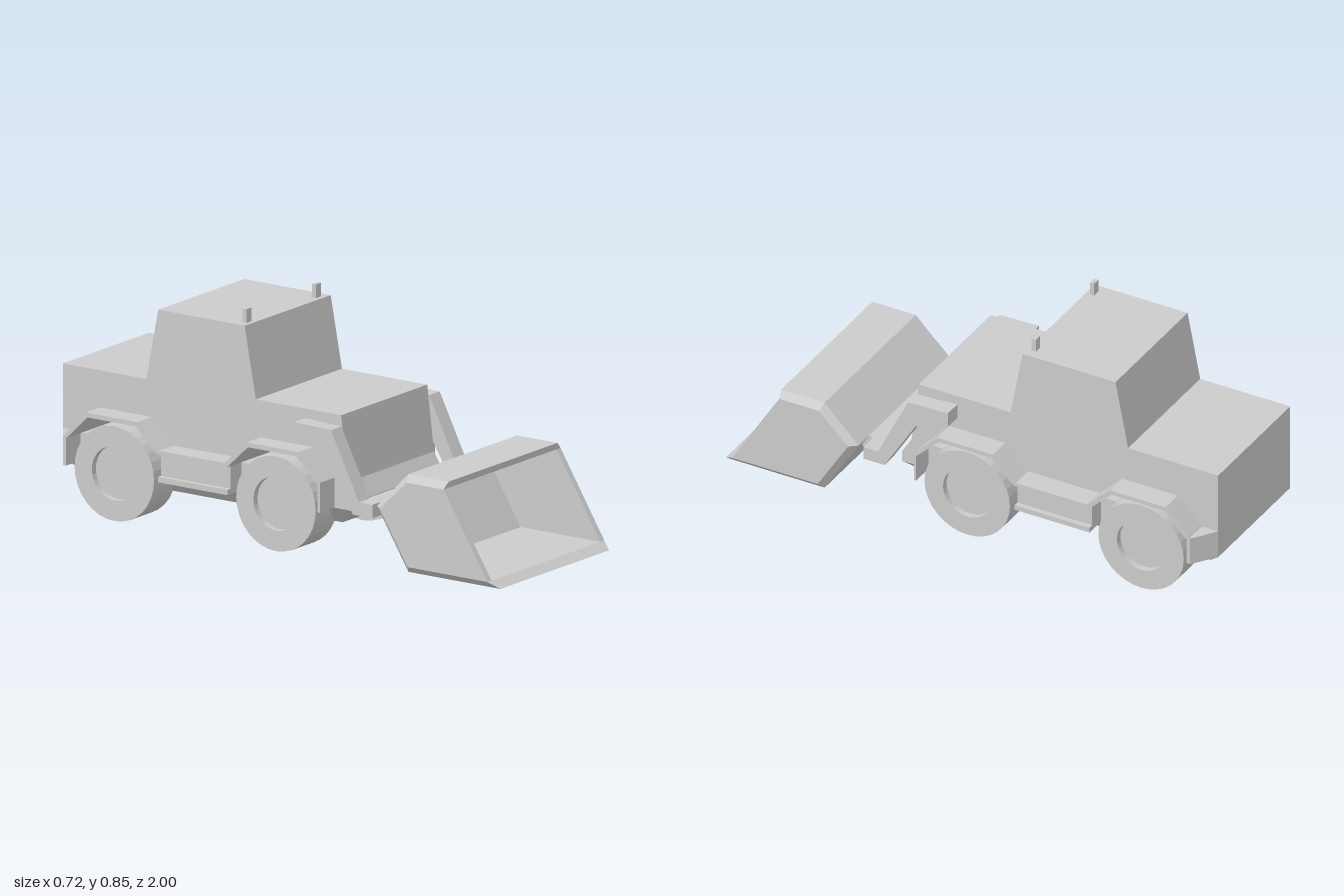
import * as THREE from 'three';

const material = new THREE.MeshStandardMaterial({ color: 0xcccccc, flatShading: true });
const thin = new THREE.MeshStandardMaterial({ color: 0xcccccc, flatShading: true, side: THREE.DoubleSide });

// Side profile given as [z, y] points, extruded from x0 to x1
function slab(points, x0, x1) {
  const shape = new THREE.Shape(points.map(([z, y]) => new THREE.Vector2(-z, y)));
  const geo = new THREE.ExtrudeGeometry(shape, { depth: x1 - x0, bevelEnabled: false });
  return geo.rotateY(Math.PI / 2).translate(x0, 0, 0);
}

function box(x0, x1, y0, y1, z0, z1) {
  return new THREE.BoxGeometry(x1 - x0, y1 - y0, z1 - z0)
    .translate((x0 + x1) / 2, (y0 + y1) / 2, (z0 + z1) / 2);
}

// Convex polygons (arrays of [x, y, z]) turned into a faceted surface
function facets(polygons) {
  const pos = [];
  for (const p of polygons)
    for (let i = 1; i < p.length - 1; i++) pos.push(...p[0], ...p[i], ...p[i + 1]);
  const geo = new THREE.BufferGeometry();
  geo.setAttribute('position', new THREE.Float32BufferAttribute(pos, 3));
  geo.computeVertexNormals();
  return geo;
}

// Open bucket: outer shell with bevelled ends, inner shell and front rim
function bucketGeometry() {
  const outer = [[1, 0.015], [0.59, 0.015], [0.45, 0.24], [0.59, 0.38], [0.77, 0.38]];
  const inner = [[0.96, 0.04], [0.605, 0.04], [0.48, 0.24], [0.6, 0.355], [0.765, 0.355]];
  const at = (profile, x) => profile.map(([z, y]) => [x, y, z]);
  const w = 0.335, W = 0.36;
  const polys = [];
  const strip = (a, b) => {
    for (let i = 0; i < 4; i++) polys.push([a[i], b[i], b[i + 1], a[i + 1]]);
  };
  strip(at(outer, -w), at(outer, w));
  strip(at(inner, -w), at(inner, w));
  for (const s of [-1, 1]) {
    const o = at(outer, s * w), n = at(inner, s * w), e = at(inner, s * W);
    strip(o, e);
    polys.push(e, n);
    polys.push([n[0], e[0], e[4], n[4]], [o[0], e[0], n[0]], [o[4], e[4], n[4]]);
  }
  for (const i of [0, 4])
    polys.push([at(outer, -w)[i], at(outer, w)[i], at(inner, w)[i], at(inner, -w)[i]]);
  return facets(polys);
}

// Lower hull: straight sides tapering in to a narrower belly
function chassisGeometry() {
  const ring = (x, y, zf, zb) => [[-x, y, zf], [x, y, zf], [x, y, zb], [-x, y, zb]];
  const rings = [
    ring(0.2, 0.11, 0.2, -0.93), ring(0.265, 0.18, 0.31, -1),
    ring(0.265, 0.22, 0.31, -1), ring(0.265, 0.285, 0.27, -1),
  ];
  const polys = [[...rings[0]].reverse(), rings[3]];
  for (let r = 0; r < 3; r++)
    for (let i = 0; i < 4; i++) {
      const j = (i + 1) % 4;
      polys.push([rings[r][i], rings[r][j], rings[r + 1][j], rings[r + 1][i]]);
    }
  return facets(polys);
}

export function createModel() {
  const model = new THREE.Group();
  model.name = 'shovelTractor';
  const add = (name, geo, mat = material) => {
    const mesh = new THREE.Mesh(geo, mat);
    mesh.name = name;
    model.add(mesh);
    return mesh;
  };

  // Underside of the fenders, shared by the body arches
  const arch = [
    [0.2, 0.285], [0.105, 0.375], [-0.11, 0.375], [-0.205, 0.285],
    [-0.515, 0.285], [-0.61, 0.375], [-0.825, 0.375], [-0.915, 0.285],
  ];

  // Bonnet, cab and engine bay in one profile with open wheel arches
  add('body', slab([
    [0.27, 0.285], [0.24, 0.53], [-0.14, 0.53], [-0.19, 0.797], [-0.575, 0.797],
    [-0.627, 0.53], [-1, 0.53], [-1, 0.285], ...[...arch].reverse(),
  ], -0.265, 0.265));
  add('chassis', chassisGeometry(), thin);

  // Fender band running over both wheels, with a front mudflap
  const fender = [
    [0.2, 0.18], [0.21, 0.18], [0.21, 0.292], [0.113, 0.392], [-0.118, 0.392], [-0.213, 0.3],
    [-0.507, 0.3], [-0.602, 0.392], [-0.833, 0.392], [-0.93, 0.292], [-0.93, 0.285],
    ...[...arch].reverse(),
  ];
  const arm = [
    [0.08, 0.495], [0.245, 0.49], [0.37, 0.24], [0.37, 0.19], [0.343, 0.19],
    [0.215, 0.395], [0.14, 0.437], [0.08, 0.437],
  ];
  const wheelProfile = [[0, 0], [0.177, 0], [0.177, 0.135], [0.1, 0.135], [0.1, 0.11], [0, 0.11]]
    .map(([r, h]) => new THREE.Vector2(r, h));

  for (const s of [-1, 1]) {
    const side = s > 0 ? 'left' : 'right';
    const span = (a, b) => (s > 0 ? [a, b] : [-b, -a]);

    add(side + 'Fender', slab(fender, ...span(0.264, 0.355)));
    add(side + 'StepPanel', box(...span(0.264, 0.33), 0.2, 0.285, -0.515, -0.205));
    add(side + 'Step', box(...span(0.264, 0.35), 0.18, 0.2, -0.515, -0.205));

    // Wedge closing the rear corner
    const corner = new THREE.Shape(
      [[0.264, 0.92], [0.355, 0.92], [0.355, 0.935], [0.264, 1]].map(([x, z]) => new THREE.Vector2(s * x, z)));
    add(side + 'RearCorner', new THREE.ExtrudeGeometry(corner, { depth: 0.11, bevelEnabled: false })
      .rotateX(-Math.PI / 2).translate(0, 0.18, 0));

    add(side + 'LiftArm', slab(arm, ...span(0.27, 0.335)));
    add(side + 'ArmPivot', box(...span(0.26, 0.275), 0.437, 0.493, 0.08, 0.14));
    add(side + 'RoofLamp', box(...span(0.198, 0.23), 0.79, 0.848, -0.225, -0.208));

    for (const [place, z] of [['Front', 0], ['Rear', -0.72]]) {
      const wheel = add(side + place + 'Wheel',
        new THREE.LatheGeometry(wheelProfile, 32).rotateZ(-Math.PI / 2));
      wheel.position.set(s * 0.2, 0.177, z);
      if (s < 0) wheel.rotation.y = Math.PI;
    }
  }

  // Linkage between arms and bucket
  add('crossbar', box(-0.335, 0.335, 0.19, 0.24, 0.36, 0.43));
  add('bucketMount', box(-0.262, 0.262, 0.19, 0.24, 0.43, 0.475));
  add('bucket', bucketGeometry(), thin);
  return model;
}
